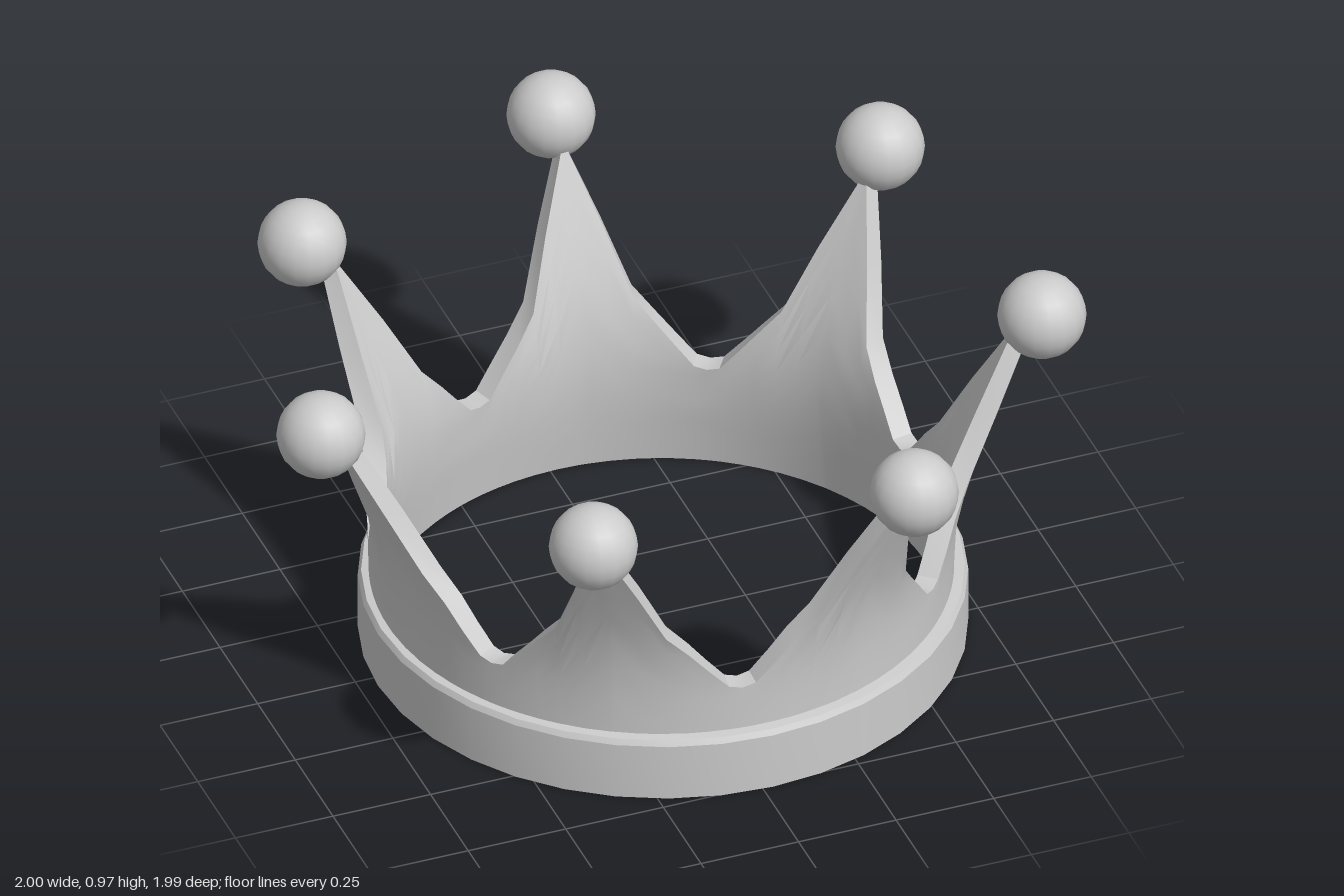
import * as THREE from 'three';
import { toCreasedNormals } from 'three/addons/utils/BufferGeometryUtils.js';

const SPIKES = 7;
const STEP = (Math.PI * 2) / SPIKES;
const START = THREE.MathUtils.degToRad(20.7); // first spike, measured from +z towards +x

// Piecewise linear lookup in a list of [key, value] pairs
function lookup(pairs, k) {
  for (let i = 1; i < pairs.length; i++) {
    const [a, va] = pairs[i - 1], [b, vb] = pairs[i];
    if (k <= b) return va + (vb - va) * Math.max(0, (k - a) / (b - a));
  }
  return pairs[pairs.length - 1][1];
}

// Wall radii by height: upright below, flaring outwards in the spikes
const OUTER = [[0, 0.70], [0.17, 0.70], [0.3, 0.703], [0.42, 0.72], [0.55, 0.768], [0.82, 0.882]];
const INNER = [[0, 0.68], [0.17, 0.657], [0.3, 0.65], [0.42, 0.665], [0.55, 0.712], [0.82, 0.84]];
// Rim height by angle (degrees) from the middle of a spike
const RIM = [[0.6, 0.81], [5.5, 0.635], [10.5, 0.47], [15, 0.405], [19, 0.347], [23, 0.293], [25.71, 0.285]];

function wallGeometry() {
  const half = RIM.map(([a]) => a);
  const angles = [...half.slice().reverse().map((a) => -a), ...half.slice(0, -1)];
  const rows = 9;
  const columns = [];
  for (let s = 0; s < SPIKES; s++) {
    for (const a of angles) {
      const theta = START + s * STEP + THREE.MathUtils.degToRad(a);
      const top = lookup(RIM, Math.abs(a));
      const at = (radii, t) => {
        const y = top * t, r = lookup(radii, y);
        return [Math.sin(theta) * r, y, Math.cos(theta) * r];
      };
      // up the outside, over the rim, down the inside
      const column = [];
      for (let i = 0; i <= rows; i++) column.push(at(OUTER, i / rows));
      for (let i = rows; i >= 0; i--) column.push(at(INNER, i / rows));
      columns.push(column);
    }
  }
  const positions = [];
  columns.forEach((c, i) => {
    const d = columns[(i + 1) % columns.length];
    for (let j = 0; j < c.length - 1; j++) {
      positions.push(...c[j], ...d[j], ...d[j + 1], ...c[j], ...d[j + 1], ...c[j + 1]);
    }
  });
  const geometry = new THREE.BufferGeometry();
  geometry.setAttribute('position', new THREE.Float32BufferAttribute(positions, 3));
  return toCreasedNormals(geometry, 0.55);
}

export function createModel() {
  const model = new THREE.Group();
  model.name = 'crown';
  const material = new THREE.MeshStandardMaterial({ color: 0xcccccc });
  const add = (name, geometry, x, y, z) => {
    const mesh = new THREE.Mesh(geometry, material);
    mesh.name = name;
    mesh.position.set(x, y, z);
    model.add(mesh);
  };

  // Base band with a small bevel on its upper edge
  const profile = [[0.68, 0], [0.73, 0], [0.73, 0.15], [0.722, 0.164], [0.69, 0.168]]
    .map(([r, y]) => new THREE.Vector2(r, y));
  add('baseBand', toCreasedNormals(new THREE.LatheGeometry(profile, 36), 0.5), 0.025, 0, 0.035);

  // Wall with its ring of spikes
  add('spikedWall', wallGeometry(), 0.022, 0, 0.032);

  // Ball on every spike tip
  const ball = new THREE.SphereGeometry(0.107, 18, 12);
  for (let s = 0; s < SPIKES; s++) {
    const theta = START + s * STEP;
    add('tipBall', ball, 0.015 + Math.sin(theta) * 0.92, 0.861, 0.026 + Math.cos(theta) * 0.92);
  }
  return model;
}
